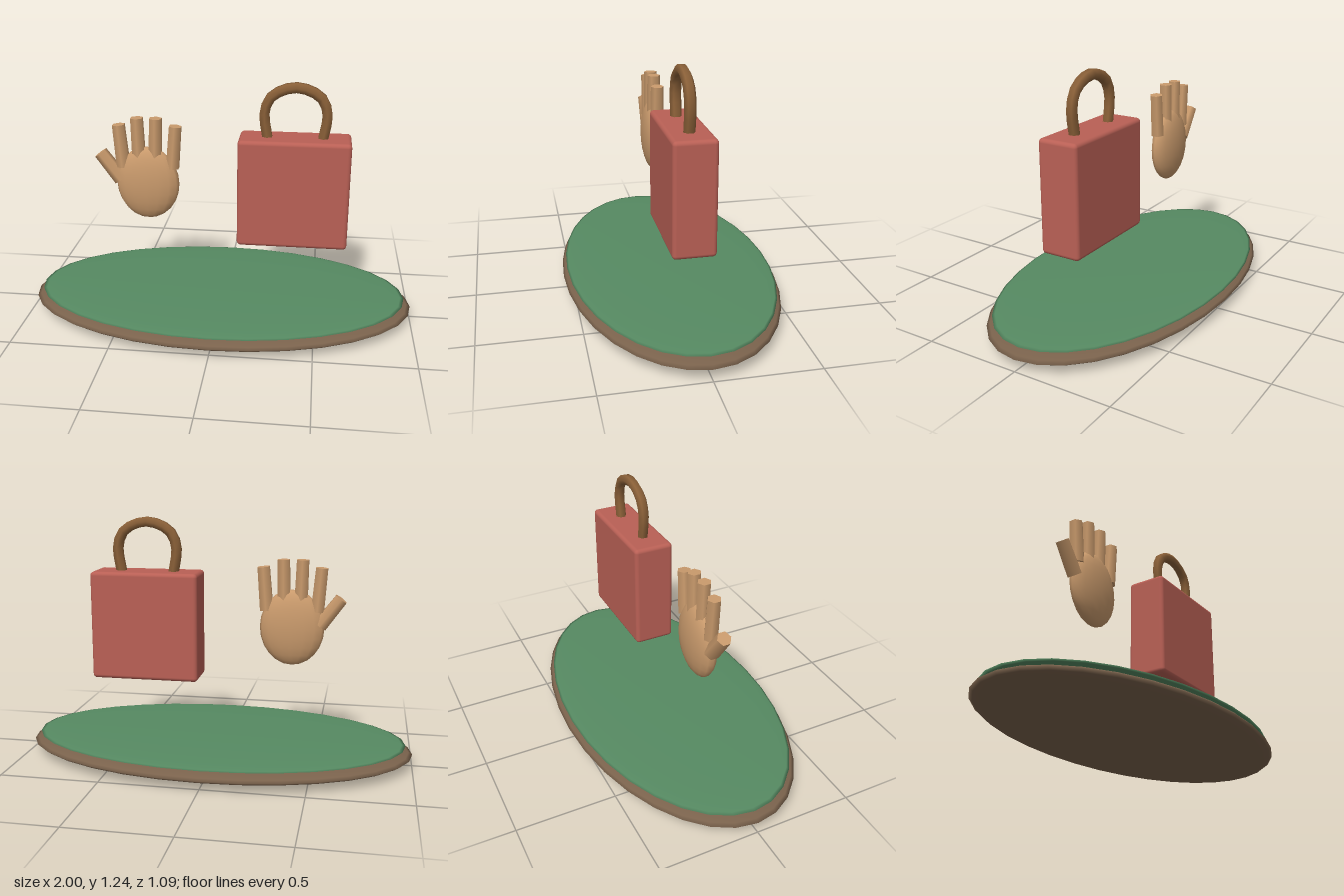
import * as THREE from 'three';
import { RoundedBoxGeometry } from 'three/addons/geometries/RoundedBoxGeometry.js';

export function createModel() {
  const model = new THREE.Group();
  const mat = (color) => new THREE.MeshStandardMaterial({ color });
  const wood = mat(0x7a624c), green = mat(0x568a62), red = mat(0xb96055);
  const leather = mat(0x8a6038), skin = mat(0xc99a6c);

  const add = (parent, name, geometry, material, x = 0, y = 0, z = 0) => {
    const mesh = new THREE.Mesh(geometry, material);
    mesh.name = name;
    mesh.position.set(x, y, z);
    parent.add(mesh);
    return mesh;
  };
  const ellipsoid = (rx, ry, rz, w, h) => new THREE.SphereGeometry(1, w, h).scale(rx, ry, rz);

  // Oval base with a thin green top
  add(model, 'base', ellipsoid(1, 0.06, 0.547, 32, 16), wood, 0, 0.06);
  add(model, 'baseTop', ellipsoid(0.965, 0.02, 0.528, 32, 16), green, 0, 0.104);

  // Floating bag
  const bag = new THREE.Group();
  bag.name = 'bag';
  bag.position.x = 0.37;
  model.add(bag);
  add(bag, 'bagBody', new RoundedBoxGeometry(0.556, 0.556, 0.208, 3, 0.02), red, 0, 0.687);

  // Six-sided arched handle
  const half = [[0.134, 0.94], [0.153, 1.09], [0.118, 1.17]];
  const points = [
    ...half.map(([x, y]) => [-x, y]),
    [0, 1.215],
    ...half.slice().reverse(),
  ].map(([x, y]) => new THREE.Vector3(x, y, 0));
  const arch = new THREE.CatmullRomCurve3(points);
  add(bag, 'handle', new THREE.TubeGeometry(arch, 16, 0.028, 6), leather);

  // Floating hand
  const hand = new THREE.Group();
  hand.name = 'hand';
  model.add(hand);
  add(hand, 'palm', ellipsoid(0.163, 0.193, 0.06, 16, 12), skin, -0.377, 0.695);

  // Digits: base x, base y, tip x, tip y, tip radius, base radius
  const digits = {
    thumb: [-0.517, 0.71, -0.62, 0.848, 0.036, 0.04],
    indexFinger: [-0.503, 0.78, -0.521, 1.0, 0.034, 0.037],
    middleFinger: [-0.42, 0.81, -0.426, 1.038, 0.034, 0.037],
    ringFinger: [-0.336, 0.81, -0.33, 1.038, 0.034, 0.037],
    littleFinger: [-0.248, 0.78, -0.23, 1.0, 0.034, 0.037],
  };
  for (const [name, [x0, y0, x1, y1, rTip, rBase]] of Object.entries(digits)) {
    const length = Math.hypot(x1 - x0, y1 - y0);
    const digit = add(hand, name, new THREE.CylinderGeometry(rTip, rBase, length, 6),
      skin, (x0 + x1) / 2, (y0 + y1) / 2);
    digit.rotation.z = Math.atan2(x0 - x1, y1 - y0);
  }

  return model;
}
